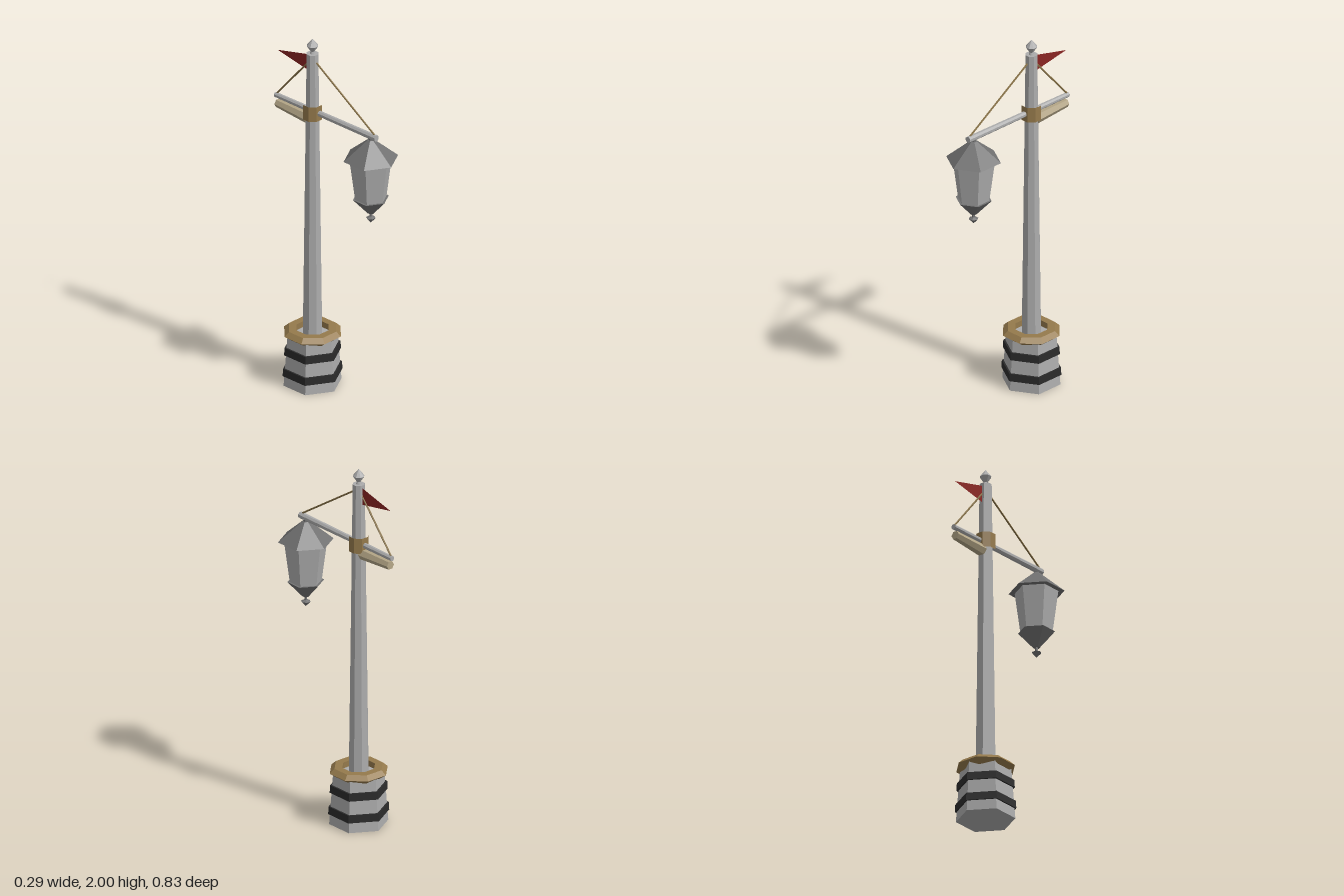
import * as THREE from 'three';

const mat = (name, color, extra = {}) => {
  const m = new THREE.MeshStandardMaterial({ color, flatShading: true, ...extra });
  m.name = name;
  return m;
};

export function createModel() {
  const group = new THREE.Group();
  const stone = mat('pale grey', 0xacacac);
  const slate = mat('slate grey', 0x727272);
  const iron = mat('black iron', 0x2b2b2b);
  const wood = mat('brown wood', 0x957a4c);
  const cloth = mat('beige cloth', 0xb3a586);
  const rope = mat('rope', 0x8a7448);
  const red = mat('red flag', 0x8a2522, { side: THREE.DoubleSide });

  const POST_Z = -0.15, LAMP_Z = 0.27;

  const add = (name, geo, material, z = 0) => {
    const mesh = new THREE.Mesh(geo, material);
    mesh.name = name;
    mesh.position.z = z;
    group.add(mesh);
    return mesh;
  };

  // Upright prism between two heights; flat turns a face, not a corner, to the front
  const prism = (name, material, sides, y0, r0, y1, r1, z, flat = false, open = false) => {
    const geo = new THREE.CylinderGeometry(r1, r0, y1 - y0, sides, 1, open);
    if (flat) geo.rotateY(Math.PI / sides);
    geo.translate(0, (y0 + y1) / 2, 0);
    return add(name, geo, material, z);
  };

  // Prism running between two points in the x = 0 plane, given as [y, z]
  const rod = (name, material, sides, a, ra, b, rb) => {
    const p = new THREE.Vector3(0, ...a), q = new THREE.Vector3(0, ...b);
    const dir = q.clone().sub(p);
    const geo = new THREE.CylinderGeometry(rb, ra, dir.length(), sides);
    geo.rotateY(Math.PI / sides);
    const mesh = add(name, geo, material);
    mesh.quaternion.setFromUnitVectors(new THREE.Vector3(0, 1, 0), dir.normalize());
    mesh.position.copy(p.add(q).multiplyScalar(0.5));
    return mesh;
  };

  // Faceted turned shape from [radius, y] points, listed bottom to top
  const turned = (name, material, sides, points, z) =>
    add(name, new THREE.LatheGeometry(points.map(p => new THREE.Vector2(...p)), sides,
      Math.PI / sides), material, z);

  // Six-sided base with two iron bands
  prism('base', stone, 6, 0, 0.156, 0.285, 0.135, POST_Z);
  prism('lowerBand', iron, 6, 0.057, 0.161, 0.099, 0.159, POST_Z);
  prism('upperBand', iron, 6, 0.177, 0.153, 0.219, 0.151, POST_Z);

  // Bevelled wooden rim
  turned('baseRim', wood, 8, [
    [0.089, 0.268], [0.122, 0.268], [0.158, 0.294], [0.132, 0.318], [0.089, 0.318], [0.089, 0.268],
  ], POST_Z);

  // Tapered post, finial and collar
  prism('post', stone, 8, 0.27, 0.054, 1.915, 0.033, POST_Z, true);
  turned('postFinial', stone, 8, [
    [0.016, 1.91], [0.01, 1.928], [0.031, 1.96], [0, 2.0],
  ], POST_Z);
  prism('collar', wood, 8, 1.54, 0.054, 1.625, 0.054, POST_Z, true, true);

  // Cross arm with its stay ropes
  rod('arm', stone, 8, [1.584, 0.311], 0.018, [1.58, -0.416], 0.014);
  rod('frontRope', rope, 5, [1.6, 0.295], 0.005, [1.878, -0.135], 0.005);
  rod('backRope', rope, 5, [1.592, -0.406], 0.005, [1.87, -0.165], 0.005);

  // Rolled cloth slung under the back of the arm
  rod('clothRoll', cloth, 6, [1.53, -0.18], 0.032, [1.537, -0.402], 0.024);

  // Pennant
  const flag = new THREE.BufferGeometry();
  flag.setAttribute('position', new THREE.Float32BufferAttribute([
    0, 1.9, -0.175, 0, 1.845, -0.402, 0, 1.805, -0.175,
  ], 3));
  flag.computeVertexNormals();
  add('flag', flag, red);

  // Six-sided hanging lantern
  prism('lanternHook', slate, 6, 1.545, 0.012, 1.575, 0.012, LAMP_Z);
  prism('lanternRoof', slate, 6, 1.453, 0.147, 1.562, 0.018, LAMP_Z);
  prism('lanternBody', stone, 6, 1.22, 0.084, 1.456, 0.115, LAMP_Z);
  prism('lanternBottom', slate, 6, 1.137, 0.018, 1.224, 0.097, LAMP_Z);
  turned('lanternFinial', slate, 6, [
    [0, 1.08], [0.026, 1.109], [0.008, 1.118], [0.008, 1.14],
  ], LAMP_Z);

  return group;
}
